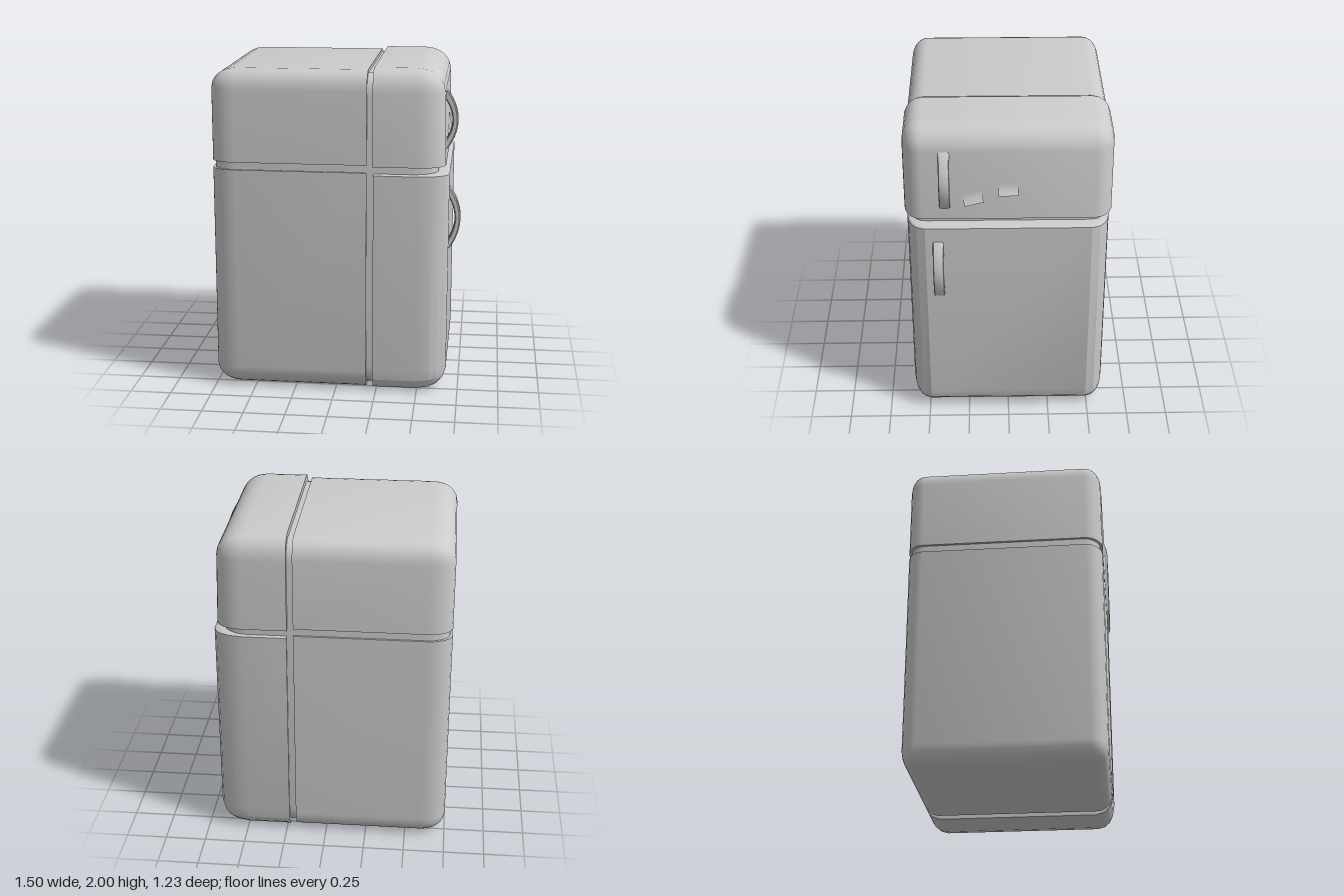
import * as THREE from 'three';
import { RoundedBoxGeometry } from 'three/addons/geometries/RoundedBoxGeometry.js';
import { toCreasedNormals } from 'three/addons/utils/BufferGeometryUtils.js';

const grey = new THREE.MeshStandardMaterial({ color: 0xcccccc });
const paper = new THREE.MeshStandardMaterial({ color: 0xcccccc, side: THREE.DoubleSide });

function add(group, name, geometry, material = grey) {
  const mesh = new THREE.Mesh(geometry, material);
  mesh.name = name;
  group.add(mesh);
  return mesh;
}

// Block with elliptical corner radii; the sides named in cuts (such as '+x') are flat.
// lip is how far a cut side still bulges, as a share of its radius.
function block({ min, max, radii, cuts = [], segments = 3, crease = 0.6, lip = 0, taper = 0 }) {
  const lo = [...min], hi = [...max];
  for (const cut of cuts) {
    const a = 'xyz'.indexOf(cut[1]);
    if (cut[0] === '+') hi[a] += radii[a];
    else lo[a] -= radii[a];
  }
  const size = hi.map((h, a) => (h - lo[a]) / radii[a]);
  const geometry = new RoundedBoxGeometry(...size, segments, 1);
  geometry.scale(...radii);
  geometry.translate(...hi.map((h, a) => (h + lo[a]) / 2));
  const pos = geometry.attributes.position;
  for (let i = 0; i < pos.count; i++) {
    for (const cut of cuts) {
      const a = 'xyz'.indexOf(cut[1]);
      const edge = cut[0] === '+' ? max[a] : min[a];
      const v = pos.getComponent(i, a);
      const beyond = cut[0] === '+' ? v > edge : v < edge;
      const bulge = a === 1 ? lip : 0;
      if (beyond) pos.setComponent(i, a, edge + (v - edge) * bulge);
    }
    // lean the front face back towards the top
    if (pos.getX(i) > min[0] + 0.1) pos.setX(i, pos.getX(i) - taper * (pos.getY(i) - min[1]));
  }
  return toCreasedNormals(geometry, crease);
}

// Bowed pull handle, extruded from a crescent
function handle(height, bow) {
  const h = height / 2 - 0.008, t = 0.02;
  const shape = new THREE.Shape();
  shape.moveTo(-0.01, -h);
  shape.quadraticCurveTo(2 * bow, -h * 0.45, bow - 0.008, 0);
  shape.quadraticCurveTo(2 * bow, h * 0.45, -0.01, h);
  shape.curves.length = 0;
  shape.currentPoint.set(-0.01, -h);
  shape.quadraticCurveTo(2 * bow - 0.006, 0, -0.01, h);
  shape.lineTo(-0.01, h - 0.045);
  shape.quadraticCurveTo(2 * (bow - t) - 0.006, 0, -0.01, -h + 0.045);
  shape.closePath();
  const geometry = new THREE.ExtrudeGeometry(shape, {
    depth: 0.036, curveSegments: 12, bevelSize: 0.008, bevelThickness: 0.014, bevelSegments: 2,
  });
  geometry.translate(0, 0, -0.018);
  return toCreasedNormals(geometry, 0.6);
}

// Paper note whose lower edge curls away from the door
function note(width, height) {
  const geometry = new THREE.PlaneGeometry(width, height, 1, 5);
  const pos = geometry.attributes.position;
  for (let i = 0; i < pos.count; i++) {
    const down = 0.5 - pos.getY(i) / height;
    pos.setZ(i, 0.004 + 0.026 * down * down);
  }
  geometry.computeVertexNormals();
  return geometry;
}

export function createModel() {
  const fridge = new THREE.Group();
  fridge.name = 'fridge';

  // Inner core seen in the seams
  add(fridge, 'core', block({
    min: [-0.735, 0.04, -0.585], max: [0.61, 1.965, 0.585], radii: [0.14, 0.12, 0.1],
  }));

  // Cabinet, split at the freezer line
  add(fridge, 'upperCabinet', block({
    min: [-0.75, 1.43, -0.597], max: [0.19, 1.985, 0.597], radii: [0.15, 0.12, 0.1],
    cuts: ['+x', '-y'],
  }));
  add(fridge, 'lowerCabinet', block({
    min: [-0.75, 0.015, -0.597], max: [0.19, 1.385, 0.597], radii: [0.15, 0.12, 0.1],
    cuts: ['+x', '+y'],
  }));

  // Doors
  add(fridge, 'freezerDoor', block({
    min: [0.225, 1.425, -0.614], max: [0.655, 2, 0.614], radii: [0.16, 0.14, 0.11],
    cuts: ['-x', '-y'], taper: 0.025,
  }));
  add(fridge, 'mainDoor', block({
    min: [0.23, 0.005, -0.6], max: [0.677, 1.37, 0.6], radii: [0.18, 0.14, 0.11],
    cuts: ['-x', '+y'], segments: 2, crease: 0.3, lip: 0.14,
  }));

  // Handles
  add(fridge, 'freezerHandle', handle(0.4, 0.075)).position.set(0.645, 1.675, 0.37);
  add(fridge, 'mainHandle', handle(0.42, 0.071)).position.set(0.675, 1.085, 0.415);

  // Notes stuck to the freezer door
  for (const [name, y, z, tilt] of [['leftNote', 1.57, 0.207, 0.25], ['rightNote', 1.625, 0.002, 0]]) {
    const mesh = add(fridge, name, note(0.115, 0.068), paper);
    mesh.geometry.rotateZ(tilt);
    mesh.geometry.rotateY(Math.PI / 2);
    mesh.position.set(0.649, y, z);
  }
  return fridge;
}
